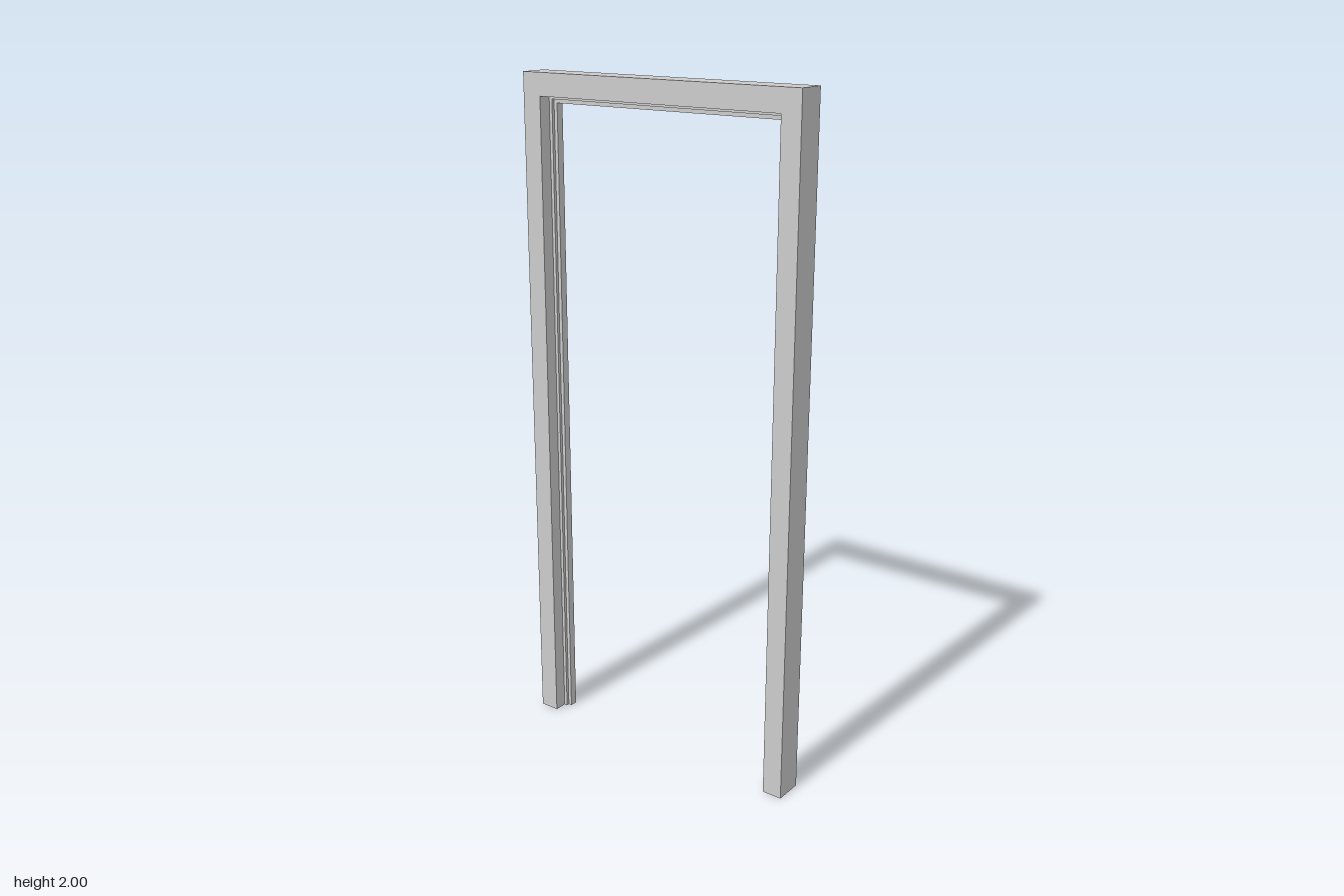
import * as THREE from 'three';

const material = new THREE.MeshStandardMaterial({ color: 0xcccccc, flatShading: true });

// Upside-down U standing on the floor, extruded from zBack to zFront
function portal(name, outerX, outerY, innerX, innerY, zBack, zFront) {
  const shape = new THREE.Shape([
    [-outerX, 0], [-innerX, 0], [-innerX, innerY], [innerX, innerY],
    [innerX, 0], [outerX, 0], [outerX, outerY], [-outerX, outerY],
  ].map(([x, y]) => new THREE.Vector2(x, y)));
  const geometry = new THREE.ExtrudeGeometry(shape, { depth: zFront - zBack, bevelEnabled: false });
  geometry.translate(0, 0, zBack);
  const mesh = new THREE.Mesh(geometry, material);
  mesh.name = name;
  return mesh;
}

export function createModel() {
  const group = new THREE.Group();
  group.name = 'doorFrame';

  // Two jambs and the head
  group.add(portal('frame', 0.456, 2, 0.396, 1.935, -0.043, 0.043));
  // Door stop, set nearer the back so the front keeps the deep rebate
  group.add(portal('doorStop', 0.396, 1.935, 0.375, 1.914, -0.028, -0.005));
  // Small seal step in front of the stop
  group.add(portal('sealStep', 0.396, 1.935, 0.386, 1.925, -0.005, 0.004));

  return group;
}
